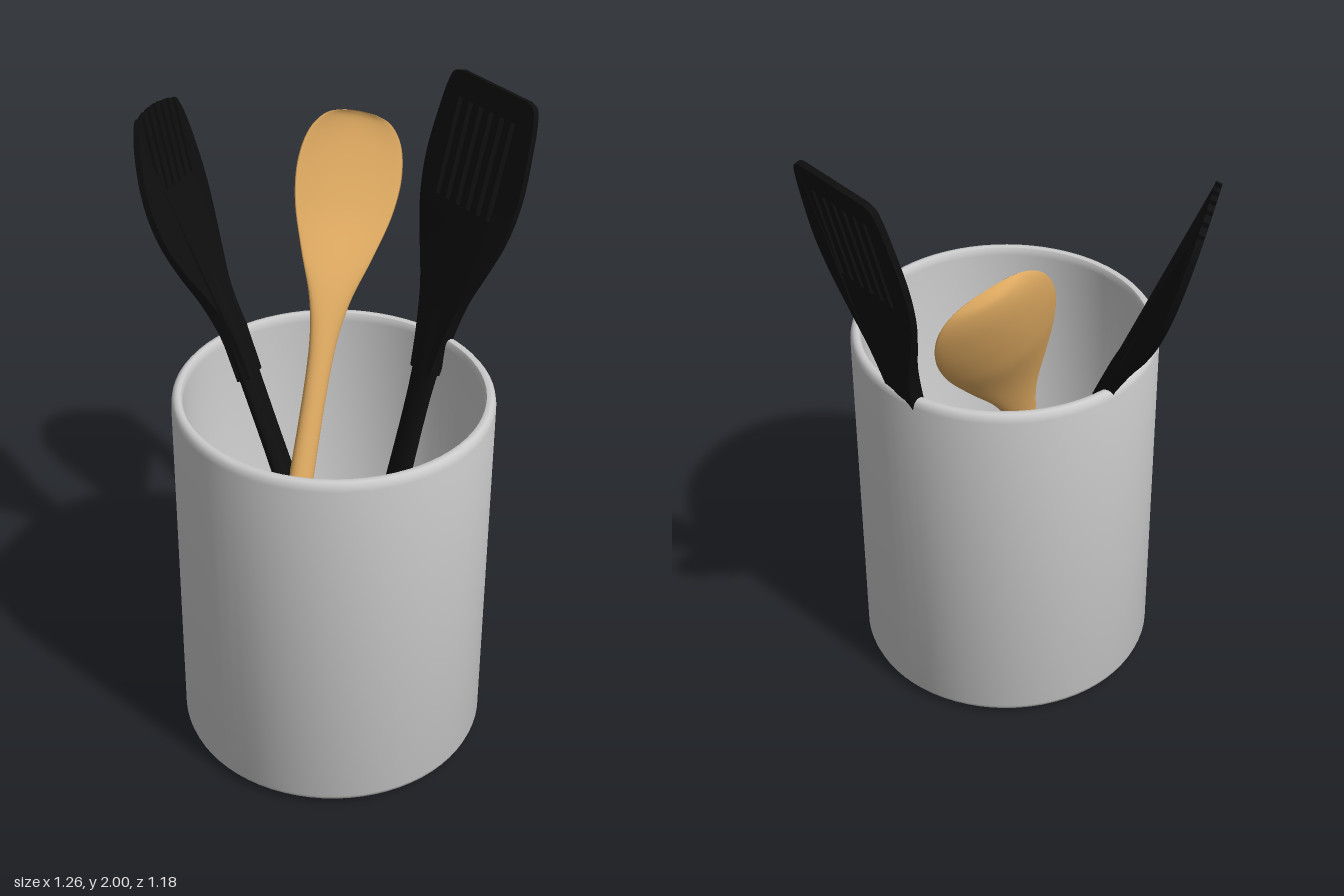
import * as THREE from 'three';
import { toCreasedNormals } from 'three/addons/utils/BufferGeometryUtils.js';

const V = (x, y, z) => new THREE.Vector3(x, y, z);
const smooth = THREE.MathUtils.smoothstep;
const mat = (color) => new THREE.MeshStandardMaterial({ color });

function addMesh(parent, name, geometry, material) {
  const mesh = new THREE.Mesh(geometry, material);
  mesh.name = name;
  parent.add(mesh);
}

// Group whose local y runs from the bottom point to the top point, with x along the given width direction
function utensil(name, bottom, top, across) {
  const axis = top.clone().sub(bottom).normalize();
  const w = across.clone().addScaledVector(axis, -across.dot(axis)).normalize();
  const g = new THREE.Group();
  g.name = name;
  g.applyMatrix4(new THREE.Matrix4().makeBasis(w, axis, w.clone().cross(axis)).setPosition(bottom));
  return g;
}

// Loft of oval sections; stations are [height, half width, half thickness], dish(height, half width) hollows the face
function loft(stations, dish = () => 0, sides = 28) {
  const rows = new THREE.CatmullRomCurve3(stations.map((s) => V(...s))).getPoints(80);
  const pos = [], idx = [];
  rows.forEach((p, i) => {
    const hw = Math.max(p.y, 0), ht = Math.max(p.z, 0), d = dish(p.x, hw);
    for (let j = 0; j < sides; j++) {
      const t = (j / sides) * Math.PI * 2, c = Math.cos(t);
      pos.push(hw * c, p.x, ht * Math.sin(t) + d * (c * c - 1));
      if (i === rows.length - 1) continue;
      const a = i * sides + j, b = i * sides + ((j + 1) % sides);
      idx.push(a, a + sides, b, b, a + sides, b + sides);
    }
  });
  const g = new THREE.BufferGeometry();
  g.setAttribute('position', new THREE.Float32BufferAttribute(pos, 3));
  g.setIndex(idx);
  g.computeVertexNormals();
  return g;
}

// Flat blade from a half outline [half width, height]; tip points close the top, slots are holes
function blade(half, tip, slots, bend) {
  const side = new THREE.CatmullRomCurve3(half.map(([u, s]) => V(u, s, 0)))
    .getPoints(40).map((p) => new THREE.Vector2(p.x, p.y));
  const mirrored = side.map((p) => new THREE.Vector2(-p.x, p.y)).reverse();
  const shape = new THREE.Shape([...side, ...tip, ...mirrored]);
  shape.holes = slots.map((pts) => new THREE.Path(pts));
  const g = new THREE.ExtrudeGeometry(shape, { depth: 1, bevelEnabled: false });
  // Thin the blade towards its tip and bend it along its length
  const p = g.attributes.position;
  for (let i = 0; i < p.count; i++) {
    const s = p.getY(i);
    const thick = 0.045 - 0.025 * smooth(s, 1.2, 1.65);
    p.setZ(i, (p.getZ(i) - 0.5) * thick + bend(s));
  }
  return toCreasedNormals(g, 0.6);
}

// Four corners of a straight slot centred on u
const slot = (u, low, high, r) => [[u + r, high], [u + r, low], [u - r, low], [u - r, high]]
  .map(([x, y]) => new THREE.Vector2(x, y));

export function createModel() {
  const model = new THREE.Group();
  const black = mat(0x0e0e0e), wood = mat(0xdca860), grey = mat(0xcccccc);

  // Round holder with a softened foot and rolled rim
  const profile = [[0, 0.004], [0.25, 0.006], [0.43, 0.01], [0.462, 0.016], [0.475, 0.026], [0.48, 0.04],
    [0.48, 1.2], [0.477, 1.217], [0.469, 1.227], [0.46, 1.229], [0.451, 1.226], [0.446, 1.217], [0.445, 1.2],
    [0.445, 0.05], [0.435, 0.035], [0.41, 0.03], [0, 0.03]].map((p) => new THREE.Vector2(...p));
  const holder = toCreasedNormals(new THREE.LatheGeometry(profile, 72), 0.7);
  holder.translate(0.145, 0, 0.125);
  addMesh(model, 'holder', holder, grey);

  const slotCentres = [0, 1, 2, 3, 4, 5].map((i) => 0.115 - i * 0.046);

  // Slotted turner
  const turner = utensil('slottedTurner', V(0.105, 0.035, -0.03), V(0.235, 1.998, -0.52), V(0.97, 0, 0.24));
  addMesh(turner, 'turnerBlade', blade(
    [[0.045, 1.1], [0.062, 1.23], [0.092, 1.36], [0.15, 1.5], [0.19, 1.61], [0.208, 1.74],
      [0.2, 1.88], [0.185, 1.985], [0.172, 2.015], [0.145, 2.026]],
    [], slotCentres.map((u) => slot(u - 0.004, 1.645, 1.95, 0.009)), () => 0), black);
  addMesh(turner, 'turnerHandle', loft([[0, 0, 0], [0.005, 0.035, 0.018], [0.04, 0.056, 0.028], [0.2, 0.06, 0.032],
    [0.6, 0.05, 0.028], [1, 0.046, 0.026], [1.23, 0.058, 0.024], [1.4, 0.05, 0.014], [1.5, 0, 0]]), black);
  model.add(turner);

  // Open-tined server, bowed outwards
  const server = utensil('tinedServer', V(0.22, 0.045, 0.07), V(-0.58, 1.915, 0.07), V(0.39, 0, 0.92));
  const bow = (s) => 0.032 * Math.sin(Math.PI * THREE.MathUtils.clamp((s - 1.3) / 0.74, 0, 1));
  addMesh(server, 'serverHead', blade(
    [[0.05, 1.15], [0.057, 1.3], [0.085, 1.42], [0.145, 1.54], [0.19, 1.65], [0.208, 1.76],
      [0.198, 1.87], [0.168, 1.97], [0.14, 2.015]],
    slotCentres.flatMap((u) => slot(u, 1.79, 2.036 - u * u, 0.009)), [], bow), black);
  addMesh(server, 'serverHandle', loft([[0, 0, 0], [0.006, 0.035, 0.018], [0.05, 0.065, 0.03], [0.18, 0.077, 0.035],
    [0.45, 0.062, 0.032], [0.9, 0.053, 0.028], [1.25, 0.055, 0.025], [1.4, 0.05, 0.014], [1.5, 0, 0]]), black);
  model.add(server);

  // Wooden spoon, handle and shallow bowl in one piece
  const spoon = utensil('woodenSpoon', V(0.085, 0.04, 0.42), V(-0.225, 1.8, -0.467), V(0.42, -0.35, -0.83));
  addMesh(spoon, 'spoonBody', loft([[0, 0, 0], [0.005, 0.03, 0.02], [0.04, 0.052, 0.034], [0.15, 0.064, 0.042],
    [0.4, 0.056, 0.038], [0.8, 0.042, 0.032], [1.25, 0.045, 0.028], [1.4, 0.072, 0.023], [1.55, 0.13, 0.017],
    [1.7, 0.18, 0.014], [1.82, 0.192, 0.013], [1.92, 0.168, 0.012], [1.975, 0.12, 0.01], [1.995, 0.06, 0.007],
    [2, 0, 0]], (s, hw) => 0.045 * smooth(s, 1.35, 1.7) * (hw / 0.19)), wood);
  model.add(spoon);

  return model;
}
